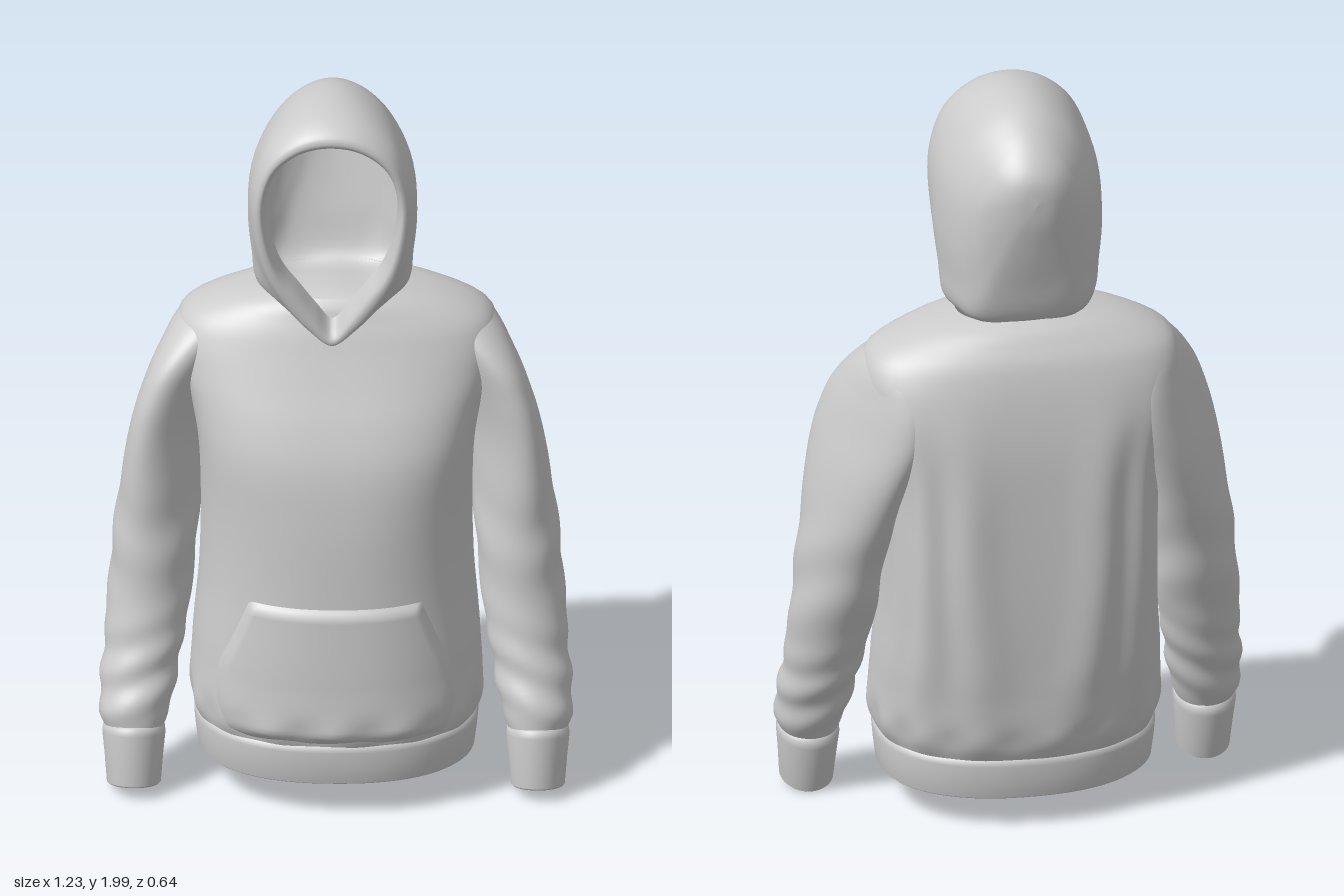
import * as THREE from 'three';

const material = new THREE.MeshStandardMaterial({ color: 0xcccccc, roughness: 0.9, side: THREE.DoubleSide });

// Skin a list of equal-length point rings with smooth normals
function loft(name, rings, closed = true) {
  const n = rings[0].length, index = [];
  for (let i = 0; i < rings.length - 1; i++) {
    for (let j = 0; j < (closed ? n : n - 1); j++) {
      const a = i * n + j, b = i * n + (j + 1) % n;
      index.push(a, a + n, b, b, a + n, b + n);
    }
  }
  const geometry = new THREE.BufferGeometry().setFromPoints(rings.flat());
  geometry.setIndex(index);
  geometry.computeVertexNormals();
  const mesh = new THREE.Mesh(geometry, material);
  mesh.name = name;
  return mesh;
}

// Smooth lookup in rows of [key, ...values]
function table(rows) {
  const size = rows[0].length - 1;
  const curve = new THREE.CubicInterpolant(rows.map(r => r[0]), rows.flatMap(r => r.slice(1)), size, new Float32Array(size));
  return key => Array.from(curve.evaluate(key));
}

const { lerp, smoothstep } = THREE.MathUtils;
const spow = (v, p) => Math.sign(v) * Math.abs(v) ** p;
const range = (count, fn) => Array.from({ length: count + 1 }, (_, i) => fn(i / count));
const bump = (v, centre, width) => Math.exp(-(((v - centre) / width) ** 2));

// Closed horizontal ring: squarer with higher powers, tilted in y and skewed in x along its depth
function ring(cx, y, cz, hw, hz, { power = 2, backPower = power, tilt = 0, skew = 0, wave = () => 0, side = 1, count = 72 } = {}) {
  const points = [];
  for (let j = 0; j < count; j++) {
    const a = j / count * Math.PI * 2, c = Math.cos(a), s = Math.sin(a), w = wave(a, y);
    const p = 2 / (s < 0 ? backPower : power);
    const x = spow(c, p) * hw + c * w, z = spow(s, p) * hz + s * w;
    points.push(new THREE.Vector3(side * (cx + x + skew * z), y + tilt * z, cz + z));
  }
  return side < 0 ? points.reverse() : points;
}

// Torso: height, half width, front z, back z
const POWER = 2.25;
const torsoAt = table([
  [0.20, 0.358, 0.282, -0.262], [0.24, 0.374, 0.296, -0.280], [0.40, 0.373, 0.294, -0.300],
  [0.60, 0.356, 0.282, -0.310], [0.85, 0.352, 0.268, -0.311], [1.00, 0.360, 0.246, -0.307],
  [1.10, 0.378, 0.212, -0.299], [1.20, 0.408, 0.168, -0.283], [1.28, 0.416, 0.134, -0.264],
  [1.33, 0.391, 0.114, -0.246], [1.37, 0.322, 0.096, -0.220], [1.40, 0.235, 0.084, -0.195],
  [1.415, 0.165, 0.070, -0.165],
]);

// Long folds down the back and gathers above the hem
function torsoFold(a, y) {
  const back = Math.max(0, -Math.sin(a));
  const fade = smoothstep(y, 0.25, 0.5) * (1 - smoothstep(y, 0.9, 1.3));
  return -0.008 * fade * back * Math.cos(a * 12) + 0.005 * bump(y, 0.26, 0.04) * Math.sin(a * 14);
}

function buildTorso() {
  return loft('body', range(80, t => {
    const y = 0.2 + t * 1.215, [w, f, b] = torsoAt(y);
    const power = POWER + 0.6 * bump(y, 1.08, 0.2);
    const backPower = POWER + 1.5 * smoothstep(y, 0.2, 0.85) * (1 - smoothstep(y, 1.1, 1.4));
    return ring(0, y, (f + b) / 2, w, (f - b) / 2, { power, backPower, wave: torsoFold, count: 144 });
  }));
}

// Front surface of the lower torso, for laying the pocket on
function frontZ(x, y) {
  const [w, f, b] = torsoAt(y);
  return (f + b) / 2 + (f - b) / 2 * (1 - Math.min(1, Math.abs(x) / w) ** POWER) ** (1 / POWER);
}

function buildHem() {
  const rows = [
    [0.20, 0.352], [0.15, 0.350], [0.105, 0.346], [0.099, 0.352], [0.104, 0.358],
    [0.15, 0.364], [0.195, 0.368], [0.211, 0.364], [0.216, 0.352],
  ];
  return loft('hemBand', rows.map(([y, w]) => ring(0, y, 0.012, w, w - 0.086, { power: POWER, tilt: 0.025, count: 120 })));
}

function buildPocket() {
  const halfWidth = table([[0.225, 0.29], [0.30, 0.31], [0.40, 0.312], [0.50, 0.272], [0.62, 0.225]]);
  return loft('frontPocket', range(32, v => {
    const y = 0.225 + v * 0.395, [w] = halfWidth(y);
    return range(48, u => {
      const x = w * (1 - 2 * u);
      const edge = Math.min(1, u / 0.04, (1 - u) / 0.04, v / 0.08, (1 - v) / 0.05);
      const gather = 0.006 * bump(v, 0.09, 0.1) * Math.cos(x * 36);
      return new THREE.Vector3(x, y, frontZ(x, y) - 0.005 + edge * (0.022 + gather));
    });
  }), false);
}

// Sleeve: height, centre x, centre z, half width, half depth, tilt, skew
const sleeveAt = table([
  [0.19, 0.523, 0.108, 0.076, 0.078, 0.28, 0], [0.225, 0.522, 0.098, 0.090, 0.088, 0.25, 0],
  [0.30, 0.513, 0.070, 0.097, 0.092, 0.2, 0], [0.40, 0.499, 0.036, 0.102, 0.096, 0.15, 0],
  [0.60, 0.477, -0.014, 0.110, 0.117, 0.08, 0.08], [0.80, 0.457, -0.046, 0.104, 0.146, 0, 0.22],
  [1.00, 0.425, -0.072, 0.094, 0.174, 0, 0.36], [1.12, 0.390, -0.080, 0.094, 0.180, 0, 0.4],
  [1.22, 0.358, -0.080, 0.094, 0.166, 0, 0.33], [1.30, 0.325, -0.080, 0.088, 0.126, 0, 0.15],
  [1.34, 0.298, -0.080, 0.072, 0.088, 0, 0.05], [1.365, 0.265, -0.080, 0.036, 0.050, 0, 0],
]);

function sleeveFold(a, y) {
  const low = bump(y, 0.32, 0.13), elbow = bump(y, 0.68, 0.16);
  return 0.005 * low * Math.sin(y * 55 + 2.5 * Math.cos(a)) + 0.004 * elbow * Math.sin(y * 27 + 3 * Math.sin(a));
}

function buildArm(side) {
  const arm = new THREE.Group();
  arm.name = side > 0 ? 'leftArm' : 'rightArm';
  arm.add(loft('sleeve', range(80, t => {
    const y = 0.19 + t * 1.175, [cx, cz, hw, hz, tilt, skew] = sleeveAt(y);
    return ring(cx, y, cz, hw, hz, { tilt, skew, side, wave: sleeveFold });
  })));
  // Ribbed cuff with a turned-in opening: height, centre z, half width
  const rows = [
    [0.11, 0.118, 0.060], [0.034, 0.130, 0.060], [0.029, 0.131, 0.065], [0.034, 0.130, 0.070],
    [0.11, 0.118, 0.076], [0.17, 0.110, 0.082], [0.188, 0.107, 0.080], [0.195, 0.105, 0.070],
  ];
  arm.add(loft('cuff', rows.map(([y, cz, w]) => ring(0.523, y, cz, w, w + 0.007, { tilt: 0.28, side }))));
  return arm;
}

// Hood: upright contours from the face opening to the crown at the back
function buildHood() {
  // Half contours as [width, height] fractions: pointed opening and full hood
  const pointed = [[0, 0], [0.25, 0.09], [0.5, 0.2], [0.78, 0.33], [0.95, 0.5], [1, 0.7], [0.83, 0.87], [0.45, 0.97], [0, 1]];
  const full = [[0, 0], [0.6, 0], [0.88, 0.05], [0.96, 0.22], [1, 0.42], [0.93, 0.67], [0.65, 0.87], [0.32, 0.97], [0, 1]];
  // z, forward lean, bottom, top, half width, pointedness
  const rows = [
    [0.120, 0.05, 1.375, 1.915, 0.168, 1], [0.160, 0.06, 1.350, 1.922, 0.174, 1],
    [0.174, 0.06, 1.330, 1.935, 0.184, 0.95], [0.170, 0.06, 1.316, 1.955, 0.198, 0.85],
    [0.130, 0.05, 1.325, 1.984, 0.213, 0.7], [0.075, 0.03, 1.365, 1.998, 0.219, 0.35],
    [0.000, 0, 1.400, 1.999, 0.219, 0], [-0.080, 0, 1.405, 1.983, 0.205, 0],
    [-0.145, 0, 1.405, 1.952, 0.176, 0.05], [-0.175, 0, 1.430, 1.932, 0.152, 0.2],
    [-0.205, 0, 1.535, 1.907, 0.122, 0.35], [-0.235, 0, 1.650, 1.872, 0.080, 0.5],
    [-0.250, 0, 1.720, 1.840, 0.045, 0.5], [-0.256, 0, 1.782, 1.783, 0.0003, 0.5],
  ];
  const contours = rows.map(([z, lean, bottom, top, w, v]) => {
    const half = pointed.map((p, i) => {
      const fx = lerp(full[i][0], p[0], v), fy = lerp(full[i][1], p[1], v);
      return new THREE.Vector3(fx * w, bottom + fy * (top - bottom), z + lean * (fy - 0.5));
    });
    const mirrored = half.slice(1, -1).reverse().map(p => new THREE.Vector3(-p.x, p.y, p.z));
    const curve = new THREE.CatmullRomCurve3([...half, ...mirrored], true);
    return range(95, t => curve.getPoint(t * 95 / 96));
  });
  // Smooth from front to back along each strand
  const strands = contours[0].map((_, j) => new THREE.CatmullRomCurve3(contours.map(c => c[j])));
  const hood = loft('hood', range(60, t => strands.map(s => s.getPoint(t))));
  hood.position.x = -0.01;
  return hood;
}

export function createModel() {
  const model = new THREE.Group();
  model.name = 'hoodedSweatshirt';
  model.add(buildTorso(), buildHem(), buildPocket(), buildArm(1), buildArm(-1), buildHood());
  return model;
}
